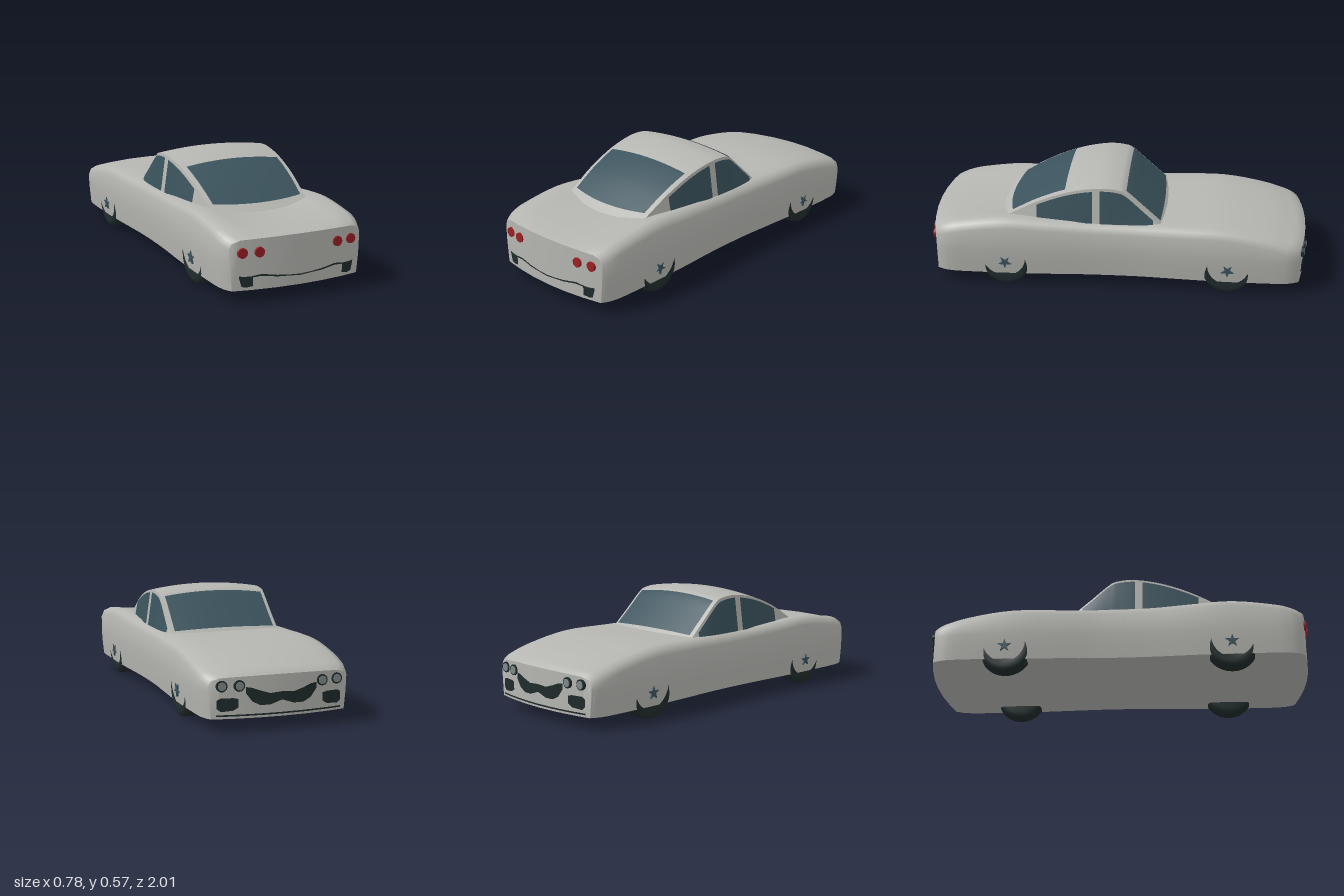
import * as THREE from 'three';
import { toCreasedNormals } from 'three/addons/utils/BufferGeometryUtils.js';
import { ParametricGeometry } from 'three/addons/geometries/ParametricGeometry.js';

const flat = (name, color, side = THREE.FrontSide) => {
  const m = new THREE.MeshStandardMaterial({ color, side });
  m.name = name;
  return m;
};
const paint = flat('silverPaint', 0xb5b5b1);
const glass = flat('blueGlass', 0x3b535d, THREE.DoubleSide);
const dark = flat('darkTrim', 0x1f2b2b, THREE.DoubleSide);
const red = flat('redLamp', 0x9c2023);
const chrome = flat('greyLamp', 0x808a8a);

const V = (x, y, z) => new THREE.Vector3(x, y, z);
const spline = (pts) => new THREE.CatmullRomCurve3(pts, false, 'catmullrom', 0.5);

function add(parent, name, geo, mat) {
  const m = new THREE.Mesh(geo, mat);
  m.name = name;
  parent.add(m);
  return m;
}

// Lower body: z, half width, shoulder height, centre height
const STATIONS = [
  [1, .355, .312, .318], [.97, .372, .325, .322], [.93, .382, .338, .326], [.85, .387, .354, .331],
  [.6, .387, .38, .34], [.4, .381, .371, .342], [.15, .368, .358, .345], [-.1, .366, .355, .35],
  [-.3, .375, .356, .357], [-.55, .386, .355, .364], [-.8, .386, .32, .335], [-.92, .382, .292, .305],
  [-.97, .371, .277, .288], [-1, .355, .26, .268],
];
const FLOOR = .065;
const bow = (x) => .05 * (x / .385) ** 2; // ends curve back towards the corners

function bodyGeometry() {
  const a = spline(STATIONS.map(([z, w, s]) => V(z, w, s)));
  const b = spline(STATIONS.map(([z, , , c]) => V(z, c, 0)));
  const steps = (STATIONS.length - 1) * 4, N = 24, pos = [], idx = [];
  for (let k = 0; k <= steps; k++) {
    const { x: z, y: w, z: sh } = a.getPoint(k / steps), yc = b.getPoint(k / steps).y;
    const top = (f) => yc + (sh - yc) * f * f;
    const half = [
      [0, FLOOR], [.33 * w, FLOOR], [.66 * w, FLOOR], [w - .045, FLOOR], [w - .012, FLOOR],
      [w - .004, .14], [w, .2], [w, sh - .045], [w - .015, sh - .013], [w - .05, sh],
      [.66 * w, top(.75)], [.33 * w, top(.35)], [0, yc],
    ];
    const ring = [...half, ...half.slice(1, 12).reverse().map(([x, y]) => [-x, y])];
    const end = THREE.MathUtils.smoothstep(Math.abs(z), .6, 1) * Math.sign(z);
    for (const [x, y] of ring) pos.push(x, y, z - end * bow(x));
  }
  const quad = (p, q, r, s) => idx.push(p, q, r, p, r, s);
  for (let k = 0; k < steps; k++) for (let i = 0; i < N; i++) {
    const j = (i + 1) % N;
    quad(k * N + i, (k + 1) * N + i, (k + 1) * N + j, k * N + j);
  }
  // Tail and nose faces, stitched in columns between floor and top
  for (let j = 0; j < 6; j++) {
    const c = [j, j + 1, 11 - j, 12 - j], m = c.map((i) => (N - i) % N).reverse();
    for (const q of [c, m]) {
      quad(...q);
      quad(...q.map((i) => steps * N + i).reverse());
    }
  }
  const g = new THREE.BufferGeometry();
  g.setAttribute('position', new THREE.Float32BufferAttribute(pos, 3));
  g.setIndex(idx);
  return toCreasedNormals(g, .85);
}

// Cabin: curves for the centreline, roof edge and side base, running tail to nose
const centre = spline([[.65, .33], [.43, .465], [.25, .543], [.1, .571], [0, .562], [-.05, .54], [-.14, .46], [-.27, .34]]
  .map(([z, y]) => V(0, y, z)));
const edge = spline([[.27, .352, .6], [.283, .452, .42], [.292, .517, .25], [.298, .545, .1],
  [.298, .54, 0], [.296, .517, -.05], [.297, .435, -.14], [.3, .335, -.25]].map((p) => V(...p)));
const base = spline([.275, .306, .322, .329, .33, .33, .327, .312].map((x) => V(x, .328, 0)));

function sAt(z) { // curve parameter where the roof edge reaches z
  let lo = 0, hi = 1;
  for (let i = 0; i < 30; i++) {
    const mid = (lo + hi) / 2;
    if (edge.getPoint(mid).z > z) lo = mid; else hi = mid;
  }
  return lo;
}
function roofPatch(s0, s1, width, lift) {
  return new ParametricGeometry((u, v, t) => {
    const s = s0 + (s1 - s0) * v, c = centre.getPoint(s), e = edge.getPoint(s), k = (u * 2 - 1) * width;
    const d = centre.getTangent(s);
    t.set(e.x * k, THREE.MathUtils.lerp(c.y, e.y, k * k) - d.z * lift,
      THREE.MathUtils.lerp(c.z, e.z, k * k) + d.y * lift);
  }, 16, 28);
}
function sidePatch(s0, s1, low, gap, lift) {
  return new ParametricGeometry((u, v, t) => {
    const s = s0 + (s1 - s0) * u, e = edge.getPoint(s), b = base.getPoint(s);
    const y = low + (Math.max(e.y - gap, low) - low) * v;
    const f = e.y - b.y < .001 ? 1 : (y - b.y) / (e.y - b.y);
    t.set(THREE.MathUtils.lerp(b.x, e.x, f) + lift, y, e.z);
  }, 28, 4);
}

// Thin plate on a bowed end face from columns of [x, low, high]
function endPlate(cols, sign) {
  const pos = [], idx = [];
  cols.forEach(([x, lo, hi], i) => {
    const z = sign * (1.004 - bow(x));
    pos.push(x, lo, z, x, hi, z);
    const p = i * 2;
    if (i) idx.push(p - 2, p, p + 1, p - 2, p + 1, p - 1);
  });
  const g = new THREE.BufferGeometry();
  g.setAttribute('position', new THREE.Float32BufferAttribute(pos, 3));
  g.setIndex(idx);
  g.computeVertexNormals();
  return g;
}

function lamp(parent, name, x, y, sign, r, depth, mat) {
  const m = add(parent, name, new THREE.CylinderGeometry(r, r, depth, 24), mat);
  m.rotation.x = sign * Math.PI / 2;
  m.position.set(x, y, sign * (1 - bow(x)));
}

function wheel(side, z) {
  const g = new THREE.Group();
  g.name = 'wheel';
  const profile = [[.06, -.05], [.105, -.05], [.128, -.044], [.135, -.03], [.135, .03], [.128, .046], [.108, .054], [.085, .046], [0, .04]];
  add(g, 'tyre', new THREE.LatheGeometry(profile.map((p) => new THREE.Vector2(...p)), 40), dark);
  const star = new THREE.Shape();
  for (let i = 0; i < 10; i++) {
    const r = i % 2 ? .014 : .036, a = i * Math.PI / 5;
    star[i ? 'lineTo' : 'moveTo'](r * Math.cos(a), r * Math.sin(a));
  }
  const hub = add(g, 'hubStar', new THREE.ExtrudeGeometry(star, { depth: .025, bevelEnabled: false }), glass);
  hub.rotation.x = -Math.PI / 2;
  hub.position.y = .038;
  g.rotation.z = -side * Math.PI / 2;
  g.position.set(side * .327, .135, z);
  return g;
}

export function createModel() {
  const car = new THREE.Group();
  car.name = 'car';
  add(car, 'body', bodyGeometry(), paint);

  // Cabin shell and windows
  add(car, 'roof', roofPatch(0, 1, 1, 0), paint);
  add(car, 'rearWindow', roofPatch(sAt(.55), sAt(.275), .91, .004), glass);
  add(car, 'windscreen', roofPatch(sAt(-.045), sAt(-.222), .93, .004), glass);
  for (const side of [1, -1]) {
    const wall = new THREE.Group();
    wall.name = 'cabinSide';
    wall.scale.x = side;
    add(wall, 'sidePanel', sidePatch(0, 1, .328, 0, 0), paint);
    add(wall, 'rearSideWindow', sidePatch(sAt(.425), sAt(.13), .355, .014, .004), glass);
    add(wall, 'frontSideWindow', sidePatch(sAt(.09), sAt(-.19), .355, .014, .004), glass);
    car.add(wall);
  }

  // Lamps, grille, vents and bumper lines
  const tailLine = [[0, .112, .119], [.06, .117, .122], [.12, .12, .128], [.2, .132, .141], [.25, .128, .135]];
  const tailVent = [[.245, .085, .134], [.28, .08, .134], [.3, .086, .136], [.312, .13, .138]];
  const grille = [[0, .145, .185], [.06, .125, .18], [.11, .125, .195], [.15, .145, .21], [.18, .185, .215]];
  const noseVent = [[.215, .12, .16], [.24, .105, .165], [.3, .1, .165], [.318, .115, .155]];
  const noseLine = [0, .08, .16, .24, .32].map((x) => [x, .077, .085]);
  for (const side of [1, -1]) {
    const mirrored = (cols) => cols.map(([x, lo, hi]) => [x * side, lo, hi]);
    add(car, 'tailLine', endPlate(mirrored(tailLine), 1), dark);
    add(car, 'tailVent', endPlate(mirrored(tailVent), 1), dark);
    add(car, 'grille', endPlate(mirrored(grille), -1), dark);
    add(car, 'noseVent', endPlate(mirrored(noseVent), -1), dark);
    add(car, 'noseLine', endPlate(mirrored(noseLine), -1), dark);
    for (const x of [.212, .295]) {
      lamp(car, 'tailLamp', side * x, .25, 1, .025, .018, red);
      lamp(car, 'headlampRing', side * x, .222, -1, .027, .018, dark);
      lamp(car, 'headlamp', side * x, .222, -1, .02, .024, chrome);
    }
    for (const z of [.59, -.585]) car.add(wheel(side, z));
  }
  return car;
}
